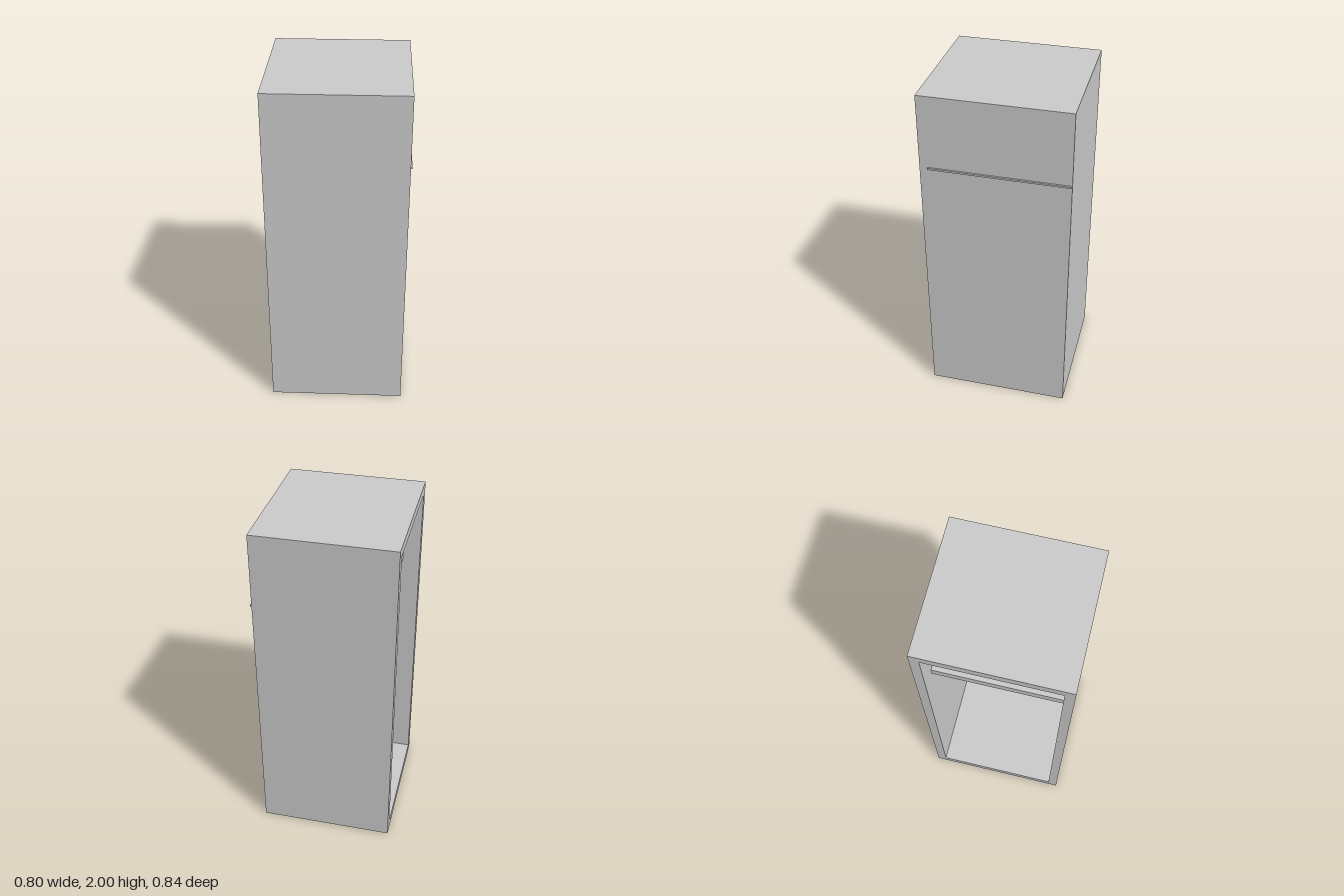
import * as THREE from 'three';

export function createModel() {
  const group = new THREE.Group();
  const material = new THREE.MeshStandardMaterial({ color: 0xcccccc, flatShading: true });

  // Box given by its lower and upper limits on each axis
  const addBox = (name, [x0, x1], [y0, y1], [z0, z1]) => {
    const mesh = new THREE.Mesh(new THREE.BoxGeometry(x1 - x0, y1 - y0, z1 - z0), material);
    mesh.name = name;
    mesh.position.set((x0 + x1) / 2, (y0 + y1) / 2, (z0 + z1) / 2);
    group.add(mesh);
  };

  const xMin = -0.402, xMax = 0.391, height = 2, zHalf = 0.421, wall = 0.055;

  // Cabinet shell: a rectangular frame swept along x, open at the -x end
  const frame = new THREE.Shape([
    new THREE.Vector2(-zHalf, 0), new THREE.Vector2(zHalf, 0),
    new THREE.Vector2(zHalf, height), new THREE.Vector2(-zHalf, height),
  ]);
  const zIn = zHalf - wall;
  frame.holes.push(new THREE.Path([
    new THREE.Vector2(-zIn, wall), new THREE.Vector2(-zIn, height - wall),
    new THREE.Vector2(zIn, height - wall), new THREE.Vector2(zIn, wall),
  ]));
  const shellGeometry = new THREE.ExtrudeGeometry(frame, { depth: xMax - wall - xMin, bevelEnabled: false });
  shellGeometry.rotateY(Math.PI / 2);
  const shell = new THREE.Mesh(shellGeometry, material);
  shell.name = 'cabinetShell';
  shell.position.x = xMin;
  group.add(shell);

  // Closed end of the cabinet, opposite the opening
  addBox('endPanel', [xMax - wall, xMax], [0, height], [-zHalf, zHalf]);

  // Inner shelf, set back from the opening
  addBox('shelf', [-0.302, xMax - wall / 2], [1.517, 1.571], [-zIn - 0.02, zIn + 0.01]);

  // Thin rail of the shelf showing through the end panel
  addBox('shelfRail', [xMax - wall / 2, 0.401], [1.565, 1.575], [-0.418, 0.375]);

  return group;
}
